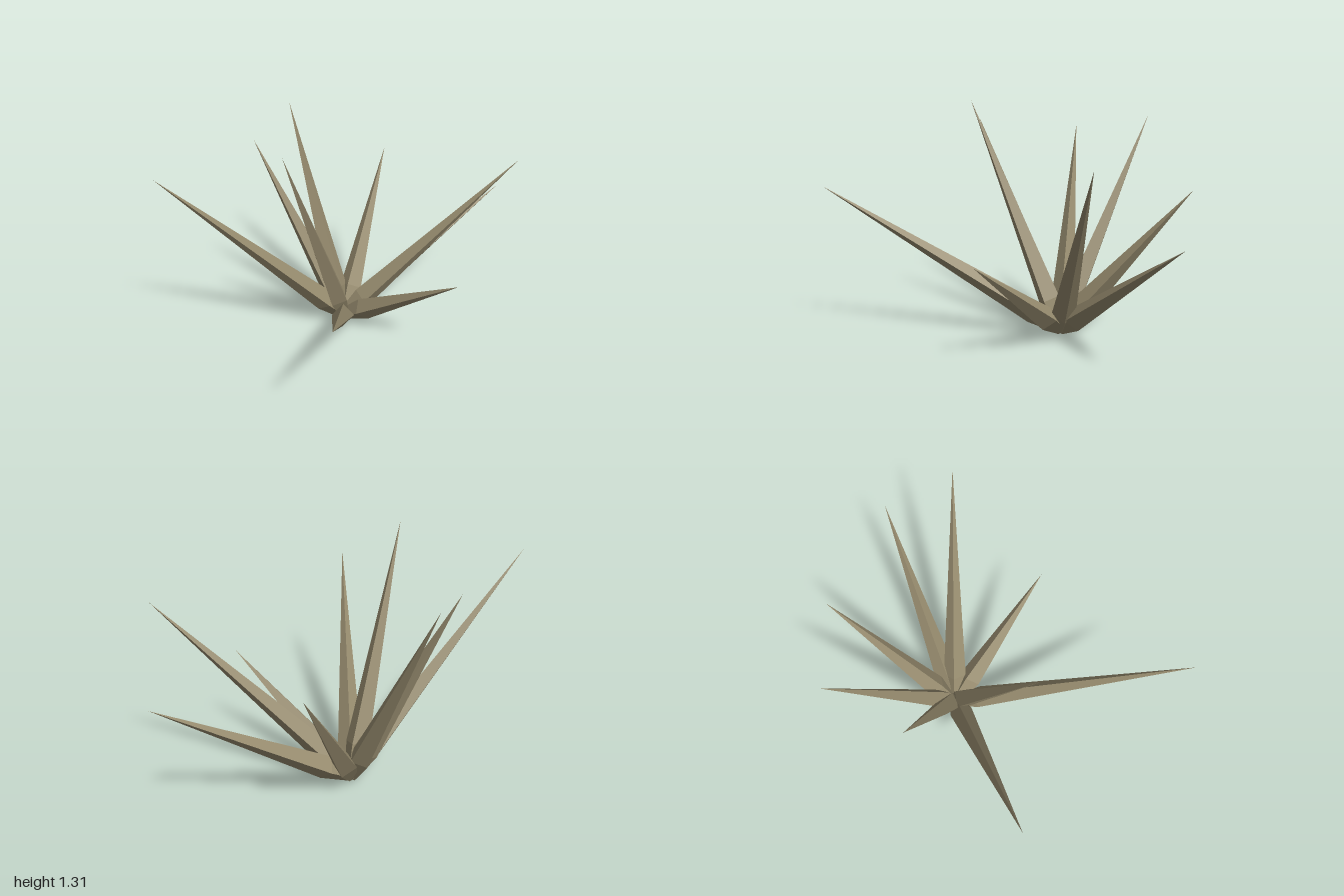
import * as THREE from 'three';

export function createModel() {
  const group = new THREE.Group();
  group.name = 'spikyPlant';
  const leafMaterial = new THREE.MeshStandardMaterial({ color: 0x968b6e, flatShading: true });
  leafMaterial.name = 'dry leaf';

  // All leaves fan out from one root point
  const root = new THREE.Vector3(0, 0.03, -0.345);
  const tips = [
    [-1.0, 1.16, 0.0],
    [-0.5, 1.14, -0.535],
    [-0.285, 1.22, -0.915],
    [0.315, 0.87, -0.975],
    [0.995, 0.72, -0.68],
    [0.98, 1.08, -0.26],
    [0.575, 0.56, 0.215],
    [-0.155, 0.86, 0.965],
    [-0.34, 1.31, 0.125],
  ];

  // Four-sided spike: narrow capped foot, widest just above it, long sharp point
  tips.forEach((t, i) => {
    const tip = new THREE.Vector3(...t);
    const profile = [[0, 0], [0.036, 0], [0.067, 0.18], [0, root.distanceTo(tip)]]
      .map(([r, h]) => new THREE.Vector2(r, h));
    const geometry = new THREE.LatheGeometry(profile, 4).rotateX(Math.PI / 2);
    const leaf = new THREE.Mesh(geometry, leafMaterial);
    leaf.name = `leaf${i + 1}`;
    leaf.position.copy(root);
    leaf.lookAt(tip);
    group.add(leaf);
  });

  return group;
}
